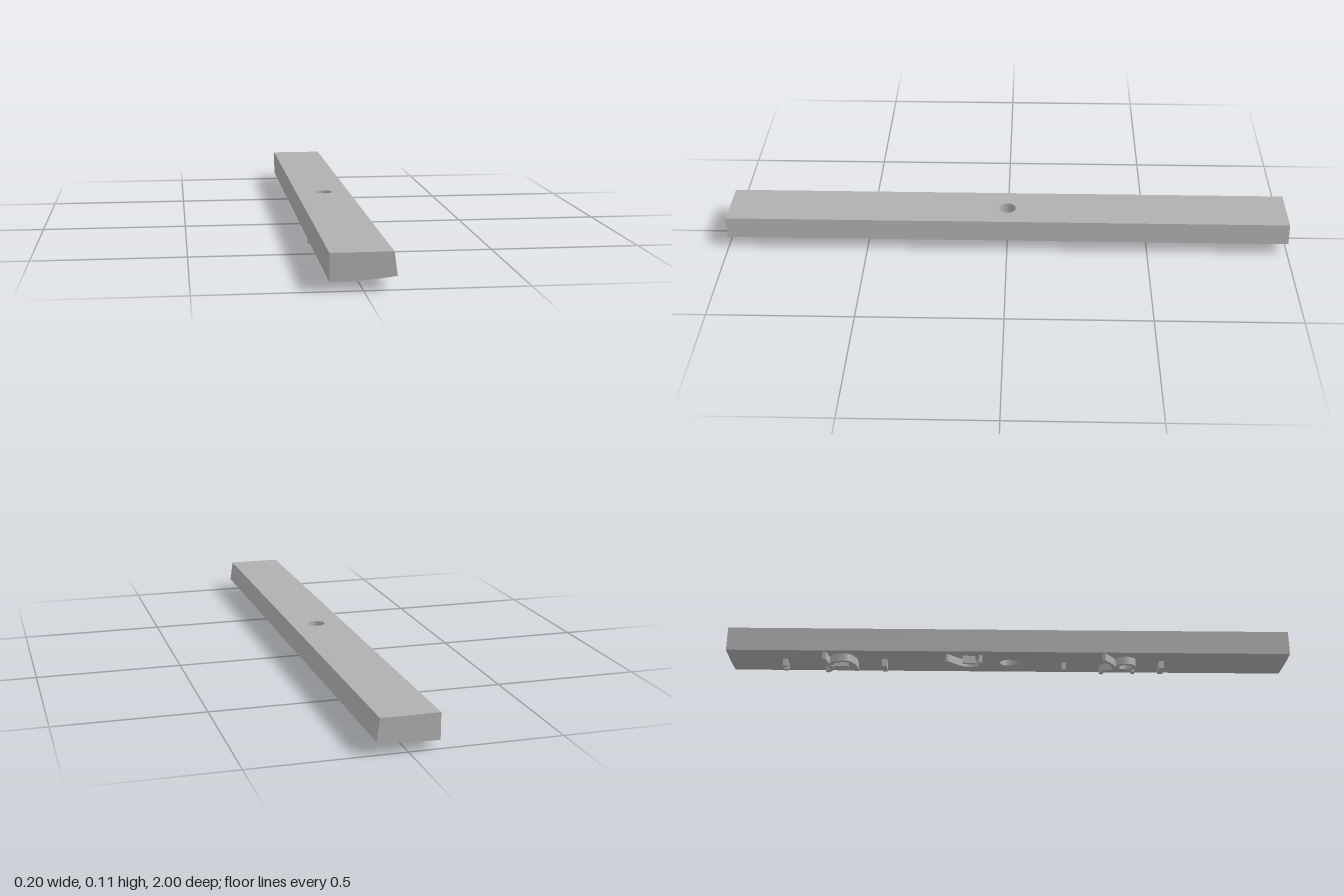
import * as THREE from 'three';

const TOP = 0.115, HALF = 0.1, MID = 0.06, RIB = 0.028;

// Height of the gently curved underside at a given x
const underside = (x) => 0.028 + 0.014 * ((x + HALF) / (2 * HALF)) ** 2;

// Extrude an (x, z) plan downwards, then move its two levels to upper(x) and lower(x)
function slab(shape, upper, lower, flare = 0) {
  const g = new THREE.ExtrudeGeometry(shape, { depth: 1, bevelEnabled: false, curveSegments: 24 });
  g.rotateX(Math.PI / 2);
  const p = g.attributes.position;
  for (let i = 0; i < p.count; i++) {
    const low = p.getY(i) < -0.5;
    let x = p.getX(i);
    if (low && flare && x > 0.0899) x += flare;
    p.setX(i, x);
    p.setY(i, low ? lower(x) : upper(x));
  }
  g.computeVertexNormals();
  return g;
}

// Constant-width outline around a smooth path of [x, z] points
function stroke(points, width) {
  const curve = new THREE.SplineCurve(points.map(([x, z]) => new THREE.Vector2(x, z)));
  const n = points.length > 2 ? 28 : 1;
  const a = [], b = [];
  for (let i = 0; i <= n; i++) {
    const c = curve.getPoint(i / n), t = curve.getTangent(i / n);
    const side = new THREE.Vector2(-t.y, t.x).multiplyScalar(width / 2);
    a.push(c.clone().add(side));
    b.unshift(c.clone().sub(side));
  }
  return new THREE.Shape([...a, ...b]);
}

export function createModel() {
  const group = new THREE.Group();
  const grey = new THREE.MeshStandardMaterial({ color: 0xb0b0b0 });
  const add = (name, geometry) => {
    const mesh = new THREE.Mesh(geometry, grey);
    mesh.name = name;
    group.add(mesh);
    return mesh;
  };

  // Bar ends: cross-section with one slanted side and a curved underside
  const section = new THREE.Shape();
  section.moveTo(0.09, TOP);
  section.lineTo(-HALF, TOP);
  for (let i = 0; i <= 16; i++) {
    const x = -HALF + (i / 16) * 2 * HALF;
    section.lineTo(x, underside(x));
  }
  section.closePath();
  for (const [name, z] of [['frontBar', MID], ['backBar', -1]]) {
    const g = new THREE.ExtrudeGeometry(section, { depth: 1 - MID, bevelEnabled: false });
    add(name, g).position.z = z;
  }

  // Bar middle with a round through-hole
  const plan = new THREE.Shape();
  plan.moveTo(-HALF, -MID);
  for (let i = 0; i <= 16; i++) plan.lineTo(-HALF + (i / 16) * 0.19, -MID);
  for (let i = 16; i >= 0; i--) plan.lineTo(-HALF + (i / 16) * 0.19, MID);
  plan.closePath();
  const hole = new THREE.Path();
  hole.absarc(0, 0, 0.03, 0, Math.PI * 2, true);
  plan.holes.push(hole);
  add('middleBar', slab(plan, () => TOP, underside, 0.01));

  // Raised ribs under the bar
  const rib = (name, shape) =>
    add(name, slab(shape, (x) => underside(x) + 0.003, (x) => underside(x) - RIB));

  // Short straight ribs and studs
  rib('frontDash', stroke([[0.03, 0.55], [-0.03, 0.55]], 0.018));
  rib('backDash', stroke([[0.03, -0.445], [-0.03, -0.445]], 0.018));
  rib('frontStud', stroke([[0.008, 0.2], [-0.008, 0.2]], 0.016));
  for (const x of [0.018, -0.018])
    rib('backStud', stroke([[x + 0.008, -0.8], [x - 0.008, -0.8]], 0.016));

  // Front cluster: ring with a sweeping curved rib
  const ring = new THREE.Shape();
  ring.absellipse(-0.035, 0.42, 0.032, 0.036, 0, Math.PI * 2);
  const inner = new THREE.Path();
  inner.absellipse(-0.035, 0.42, 0.02, 0.024, 0, Math.PI * 2, true);
  ring.holes.push(inner);
  rib('frontRing', ring);
  rib('frontSweep', stroke([[0.04, 0.335], [0.008, 0.345], [-0.01, 0.38], [-0.05, 0.37], [-0.09, 0.337]], 0.013));
  rib('frontTick', stroke([[0.036, 0.45], [0.005, 0.45]], 0.012));

  // Centre cluster: arched rib with a short inner bar
  rib('centreArch', stroke([[-0.07, -0.1], [-0.03, -0.105], [-0.02, -0.15], [-0.045, -0.19], [-0.075, -0.222]], 0.013));
  rib('centreBar', stroke([[-0.055, -0.12], [-0.06, -0.165]], 0.012));

  // Back cluster: open bowl with a curved back rib and inner bar
  rib('backBowl', stroke([[0.025, -0.548], [-0.03, -0.55], [-0.068, -0.575], [-0.06, -0.62], [-0.035, -0.635]], 0.013));
  rib('backSweep', stroke([[0.04, -0.655], [0.005, -0.635], [-0.04, -0.645], [-0.09, -0.655]], 0.013));
  rib('backBar', stroke([[-0.02, -0.575], [-0.02, -0.63]], 0.012));

  return group;
}
